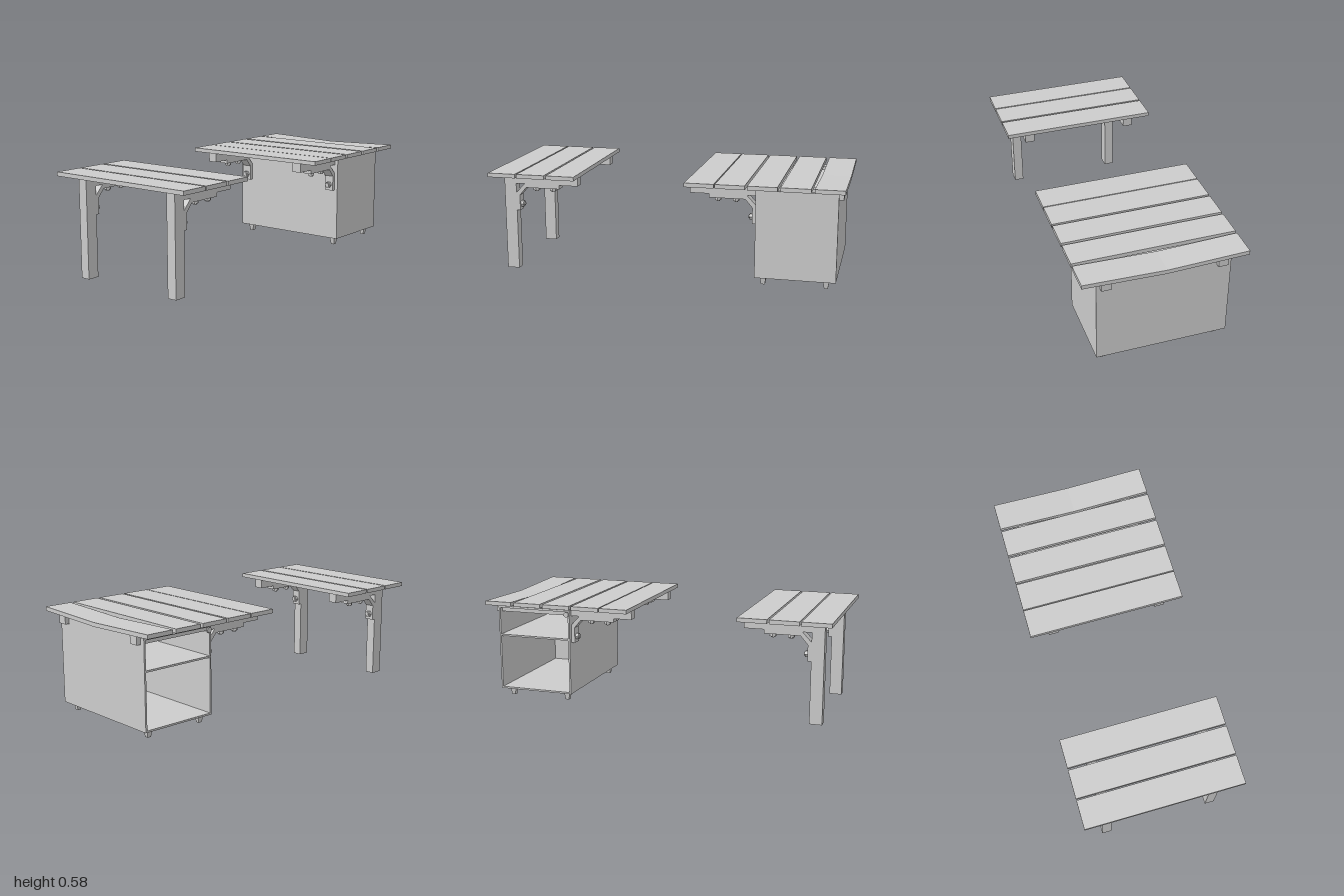
import * as THREE from 'three';

const material = new THREE.MeshStandardMaterial({ color: 0xcccccc, flatShading: true });
const BEAM_X = 0.314, BEAM_W = 0.055;

function add(parent, name, geometry, x = 0, y = 0, z = 0) {
  const mesh = new THREE.Mesh(geometry, material);
  mesh.name = name;
  mesh.position.set(x, y, z);
  parent.add(mesh);
  return mesh;
}

// Box given by its limits on each axis
function box(parent, name, [x0, x1], [y0, y1], [z0, z1]) {
  return add(parent, name, new THREE.BoxGeometry(x1 - x0, y1 - y0, z1 - z0),
    (x0 + x1) / 2, (y0 + y1) / 2, (z0 + z1) / 2);
}

// Hex nut with a short bolt end, pointing along +y
function bolt(parent, x, y, z) {
  const g = new THREE.Group();
  g.name = 'bolt';
  add(g, 'nut', new THREE.CylinderGeometry(0.019, 0.019, 0.016, 6), 0, 0.008, 0);
  add(g, 'boltEnd', new THREE.CylinderGeometry(0.011, 0.011, 0.022, 10), 0, 0.011, 0);
  g.position.set(x, y, z);
  parent.add(g);
  return g;
}

// Bent strap bracing a beam against an upright; local x runs away from the upright
function bracket(parent, x, z, facing) {
  const g = new THREE.Group();
  g.name = 'bracket';
  const profile = [[0, 0.348], [0.02, 0.348], [0.02, 0.437], [0.06, 0.483],
    [0.26, 0.483], [0.26, 0.505], [0.05, 0.505], [0, 0.452]];
  const shape = new THREE.Shape(profile.map(p => new THREE.Vector2(...p)));
  const strap = new THREE.ExtrudeGeometry(shape, { depth: BEAM_W, bevelEnabled: false });
  add(g, 'strap', strap.translate(0, 0, -BEAM_W / 2));
  for (const d of [0.115, 0.215]) bolt(g, d, 0.483, 0).rotation.z = Math.PI;
  bolt(g, 0.02, 0.383, 0).rotation.z = -Math.PI / 2;
  g.position.set(x, 0, z);
  g.rotation.y = -facing * Math.PI / 2;
  parent.add(g);
}

// Plank across x, optionally sagging in the middle
function plank(parent, z0, z1, sag = 0) {
  const geo = new THREE.BoxGeometry(0.898, 0.023, z1 - z0, 2, 1, 1);
  const p = geo.attributes.position;
  for (let i = 0; i < p.count; i++) {
    p.setY(i, p.getY(i) - sag * (1 - Math.abs(p.getX(i)) / 0.449));
  }
  geo.computeVertexNormals();
  add(parent, 'plank', geo, 0, 0.57, (z0 + z1) / 2);
}

function createBench() {
  const g = new THREE.Group();
  g.name = 'bench';
  for (const [a, b] of [[0.492, 0.655], [0.667, 0.829], [0.838, 1]]) plank(g, a, b);
  for (const s of [-1, 1]) {
    const xs = [s * BEAM_X - BEAM_W / 2, s * BEAM_X + BEAM_W / 2];
    box(g, 'leg', xs, [0, 0.5585], [0.875, 0.945]);
    box(g, 'beam', xs, [0.505, 0.5585], [0.505, 0.875]);
    bracket(g, s * BEAM_X, 0.875, -1);
  }
  return g;
}

function createCabinet() {
  const g = new THREE.Group();
  g.name = 'cabinet';
  const t = 0.01, X = [-0.367, 0.362], Y = [0.046, 0.54], Z = [-0.96, -0.513];
  const innerX = [X[0], X[1] - t], innerZ = [Z[0] + t, Z[1] - t];
  // Panels, open towards -x
  box(g, 'frontPanel', X, Y, [Z[1] - t, Z[1]]);
  box(g, 'backPanel', X, Y, [Z[0], Z[0] + t]);
  box(g, 'sidePanel', [X[1] - t, X[1]], Y, innerZ);
  box(g, 'bottomPanel', innerX, [Y[0], Y[0] + t], innerZ);
  box(g, 'topPanel', innerX, [Y[1] - t, Y[1]], innerZ);
  box(g, 'shelf', innerX, [0.363, 0.373], innerZ);
  // Small stud on the edge of the open side
  add(g, 'stud', new THREE.CylinderGeometry(0.015, 0.015, 0.01, 10), -0.37, 0.515, -0.53)
    .rotation.z = Math.PI / 2;
  // Square tapered feet
  for (const x of [-BEAM_X, BEAM_X]) {
    for (const z of [-0.905, -0.557]) {
      add(g, 'foot', new THREE.CylinderGeometry(0.025, 0.015, 0.047, 4), x, 0.0235, z)
        .rotation.y = Math.PI / 4;
    }
  }
  return g;
}

function createTable() {
  const g = new THREE.Group();
  g.name = 'table';
  plank(g, -1, -0.838, 0.014);
  for (const [a, b] of [[-0.82, -0.658], [-0.641, -0.479], [-0.466, -0.303], [-0.297, -0.134]]) plank(g, a, b);
  for (const s of [-1, 1]) {
    box(g, 'beam', [s * BEAM_X - BEAM_W / 2, s * BEAM_X + BEAM_W / 2], [0.505, 0.5585], [-0.985, -0.145]);
    bracket(g, s * BEAM_X, -0.513, 1);
  }
  g.add(createCabinet());
  return g;
}

export function createModel() {
  const model = new THREE.Group();
  model.name = 'tableAndBench';
  model.add(createBench(), createTable());
  return model;
}
